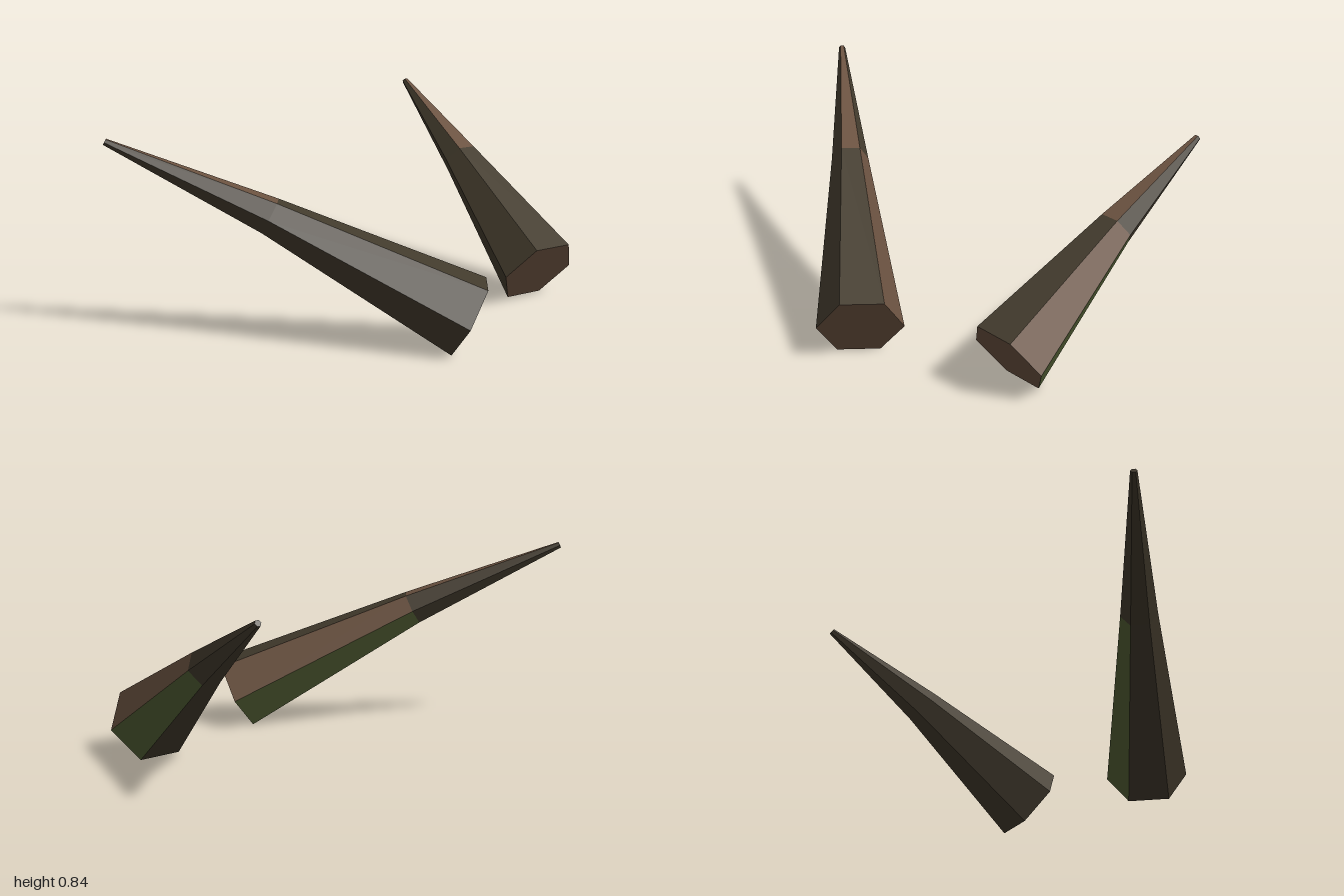
import * as THREE from 'three';

const SIDES = 6;
const DARK = 0, BROWN = 1, MOSS = 2;

// Colour of each side face, counted from the right flank over the top
const LOWER = [BROWN, DARK, DARK, DARK, DARK, MOSS];
const UPPER = [DARK, BROWN, DARK, DARK, DARK, DARK];

// Faceted stake running through three centres, with a ring of corners at each
function stakeGeometry(centres, radii, roll) {
  const pts = centres.map((c) => new THREE.Vector3(...c));
  const forward = pts[1].clone().sub(pts[0]).normalize();
  const right = forward.clone().cross(new THREE.Vector3(0, 1, 0)).normalize();
  const up = right.clone().cross(forward);
  const corner = (ring, k) => {
    const a = (k / SIDES) * Math.PI * 2 + roll;
    return pts[ring].clone()
      .addScaledVector(right, Math.cos(a) * radii[ring])
      .addScaledVector(up, Math.sin(a) * radii[ring]);
  };

  const positions = [];
  const geometry = new THREE.BufferGeometry();
  const face = (material, ...corners) => {
    geometry.addGroup(positions.length / 3, corners.length, material);
    corners.forEach((v) => positions.push(v.x, v.y, v.z));
  };

  for (let k = 0; k < SIDES; k++) {
    // Lower and upper side faces
    [LOWER, UPPER].forEach((colours, ring) => {
      const a = corner(ring, k), b = corner(ring, k + 1);
      const c = corner(ring + 1, k + 1), d = corner(ring + 1, k);
      face(colours[k], a, d, c, a, c, b);
    });
    // Cut butt end and tiny blunt tip
    face(BROWN, pts[0], corner(0, k), corner(0, k + 1));
    face(DARK, pts[2], corner(2, k + 1), corner(2, k));
  }
  geometry.setAttribute('position', new THREE.Float32BufferAttribute(positions, 3));
  geometry.computeVertexNormals();
  return geometry;
}

export function createModel() {
  const group = new THREE.Group();
  group.name = 'woodenStakes';

  const colours = { darkBark: 0x433b2d, brownWood: 0x6b5240, mossGreen: 0x525e34 };
  const materials = Object.entries(colours).map(([name, color]) => {
    const material = new THREE.MeshStandardMaterial({ color });
    material.name = name;
    return material;
  });

  const addStake = (name, centres, radii) => {
    const mesh = new THREE.Mesh(stakeGeometry(centres, radii, -0.045), materials);
    mesh.name = name;
    group.add(mesh);
  };

  // Long stake leaning to the right, shorter one leaning to the back
  addStake('longStake',
    [[0.357, 0.145, 0.628], [-0.385, 0.547, 0.366], [-0.992, 0.838, 0.157]],
    [0.175, 0.078, 0.014]);
  addStake('shortStake',
    [[0.826, 0.145, 0.212], [0.665, 0.513, -0.335], [0.544, 0.78, -0.777]],
    [0.177, 0.08, 0.014]);

  return group;
}
